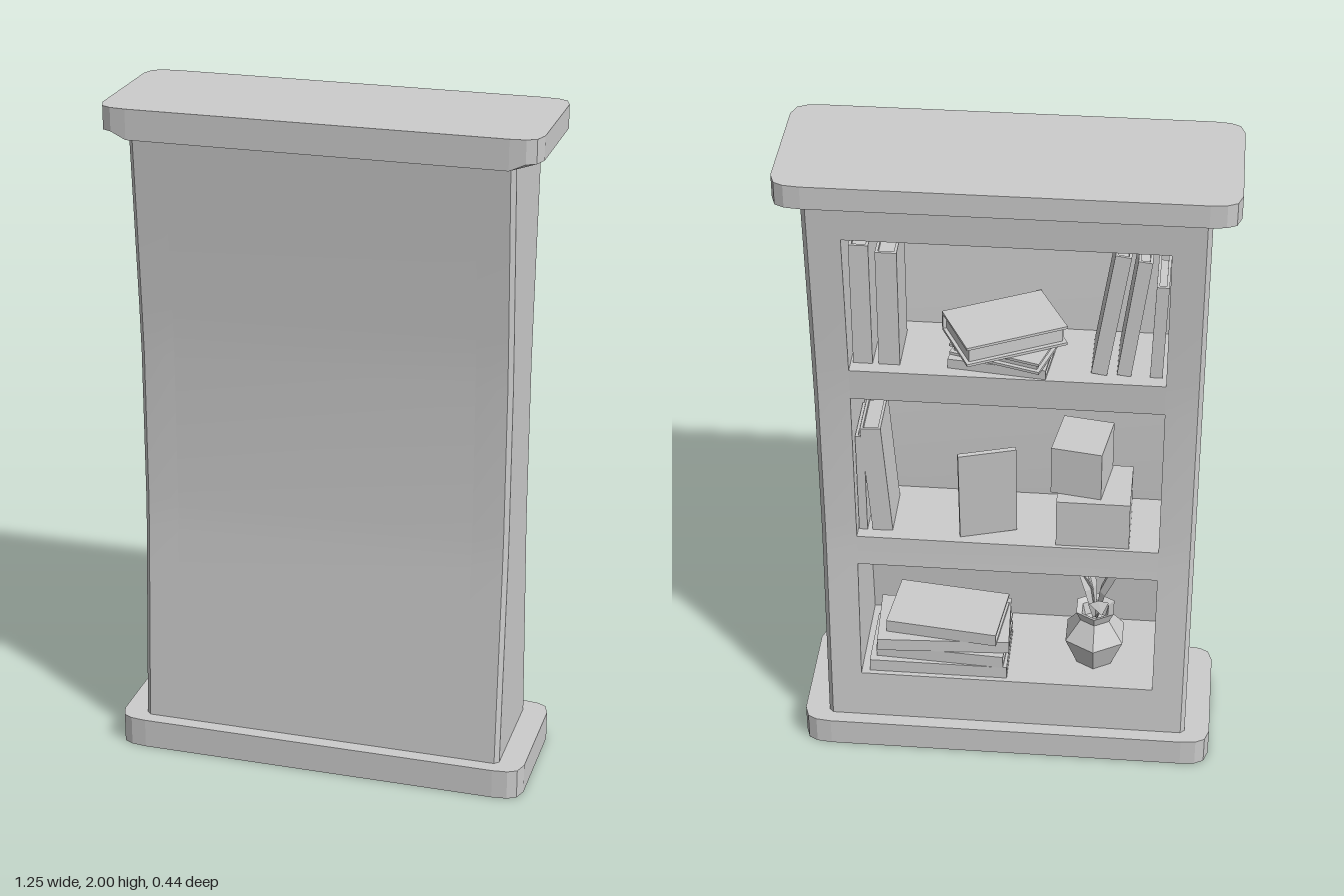
import * as THREE from 'three';
import { toCreasedNormals } from 'three/addons/utils/BufferGeometryUtils.js';

const mat = new THREE.MeshStandardMaterial({ color: 0xcccccc });
const leafMat = new THREE.MeshStandardMaterial({ color: 0xcccccc, side: THREE.DoubleSide, flatShading: true });

// Half depth of the waisted body at each height
const profile = [[0.08, 0.181], [0.3, 0.167], [0.5, 0.153], [0.7, 0.139], [0.8, 0.135],
  [1.25, 0.135], [1.4, 0.143], [1.65, 0.16], [1.94, 0.181]];
function halfDepth(y) {
  for (let i = 1; i < profile.length; i++) {
    const [y0, d0] = profile[i - 1], [y1, d1] = profile[i];
    if (y <= y1) return d0 + (d1 - d0) * (y - y0) / (y1 - y0);
  }
  return profile[profile.length - 1][1];
}

function add(parent, name, geometry, x = 0, y = 0, z = 0, material = mat) {
  const mesh = new THREE.Mesh(geometry, material);
  mesh.name = name;
  mesh.position.set(x, y, z);
  parent.add(mesh);
  return mesh;
}

// Solid between two heights; ring(d) gives [x, z] corners, counter-clockwise from above
function loft(y0, y1, ring) {
  const ys = [y0, ...profile.map(p => p[0]).filter(y => y > y0 + 0.001 && y < y1 - 0.001), y1];
  const rows = ys.map(y => ring(halfDepth(y)).map(([x, z]) => [x, y, z]));
  const n = rows[0].length, pos = [];
  const tri = (a, b, c) => pos.push(...a, ...b, ...c);
  for (let r = 0; r < rows.length - 1; r++) {
    for (let i = 0; i < n; i++) {
      const j = (i + 1) % n;
      tri(rows[r][i], rows[r][j], rows[r + 1][j]);
      tri(rows[r][i], rows[r + 1][j], rows[r + 1][i]);
    }
  }
  const bottom = rows[0], top = rows[rows.length - 1];
  for (let i = 1; i < n - 1; i++) {
    tri(top[0], top[i], top[i + 1]);
    tri(bottom[0], bottom[i + 1], bottom[i]);
  }
  const g = new THREE.BufferGeometry();
  g.setAttribute('position', new THREE.Float32BufferAttribute(pos, 3));
  return toCreasedNormals(g, 0.4);
}

// Plate with softened corners for the plinth and the crown
function plate(height) {
  const corner = [[0.625, 0.165], [0.612, 0.203], [0.585, 0.217], [0.54, 0.222]];
  const back = [...corner].reverse();
  const pts = [...corner, ...back.map(([x, z]) => [-x, z]),
    ...corner.map(([x, z]) => [-x, -z]), ...back.map(([x, z]) => [x, -z])];
  const shape = new THREE.Shape(pts.map(p => new THREE.Vector2(...p)));
  const g = new THREE.ExtrudeGeometry(shape, { depth: height, bevelEnabled: false });
  return g.rotateX(-Math.PI / 2);
}

// Book lying flat: two covers, a spine on -z and recessed pages
function book(w, t, d) {
  const g = new THREE.Group(), c = 0.008;
  g.name = 'book';
  for (const s of [-1, 1]) add(g, 'cover', new THREE.BoxGeometry(w, c, d), 0, s * (t - c) / 2, 0);
  add(g, 'spine', new THREE.BoxGeometry(w, t - 2 * c, c), 0, 0, -d / 2 + c / 2);
  add(g, 'pages', new THREE.BoxGeometry(w - 0.02, t - 2 * c, d - c - 0.012), 0, 0, c / 2 - 0.006);
  return g;
}

// Pointed leaf, folded along its middle, bending outward as it rises
function leaf(length, width, reach) {
  const rows = [[0, 0.25], [0.35, 0.85], [0.65, 1], [1, 0]], pos = [], idx = [];
  rows.forEach(([t, k]) => {
    for (const s of [-1, 0, 1]) {
      pos.push(s * k * width / 2, length * Math.sin(t * 1.5), reach * t * t + (s ? 0.012 * k : 0));
    }
  });
  for (let r = 0; r < 3; r++) {
    for (let i = 0; i < 2; i++) {
      const a = r * 3 + i;
      idx.push(a, a + 1, a + 4, a, a + 4, a + 3);
    }
  }
  const g = new THREE.BufferGeometry();
  g.setAttribute('position', new THREE.Float32BufferAttribute(pos, 3));
  g.setIndex(idx);
  g.computeVertexNormals();
  return g;
}

export function createModel() {
  const root = new THREE.Group();
  root.name = 'bookcase';

  // Plinth, and crown with its front lower edge dropped
  add(root, 'plinth', plate(0.09));
  const crown = plate(0.068);
  const p = crown.attributes.position;
  for (let i = 0; i < p.count; i++) {
    if (p.getY(i) < 0.001 && p.getZ(i) > 0.218) p.setY(i, -0.02);
  }
  crown.computeVertexNormals();
  add(root, 'crown', crown, 0, 1.932, 0);

  // Waisted side posts with chamfered outer corners, closed front panel, shelves
  const inner = 0.445, outer = 0.55, b = 0.013;
  const side = d => [[inner, d], [outer - b, d], [outer, d - b], [outer, b - d], [outer - b, -d], [inner, -d]];
  add(root, 'leftSide', loft(0.08, 1.94, side));
  add(root, 'rightSide', loft(0.08, 1.94, d => side(d).map(([x, z]) => [-x, z]).reverse()));
  const slab = (z0, z1) => [[-inner, z1], [inner, z1], [inner, z0], [-inner, z0]];
  add(root, 'frontPanel', loft(0.08, 1.94, d => slab(d - 0.02, d)));
  for (const [y0, y1] of [[0.08, 0.25], [0.66, 0.76], [1.26, 1.36], [1.81, 1.94]]) {
    add(root, 'shelf', loft(y0, y1, d => slab(-d, d - 0.02)));
  }

  const place = (obj, x, y, z, ry = 0, rz = 0) => {
    obj.position.set(x, y, z);
    obj.rotation.set(0, ry, rz);
    root.add(obj);
  };
  // Standing books: x, floor, height, thickness, lean
  for (const [x, floor, h, t, lean] of [
    [0.41, 1.36, 0.39, 0.055, 0], [0.335, 1.36, 0.37, 0.06, 0],
    [-0.285, 1.36, 0.395, 0.045, 0.15], [-0.35, 1.36, 0.38, 0.04, 0.13], [-0.42, 1.36, 0.3, 0.035, 0.03],
    [0.385, 0.76, 0.37, 0.06, -0.07], [0.43, 0.76, 0.34, 0.025, 0],
  ]) place(book(h, t, 0.17), x, floor + h / 2, -0.015, 0, Math.PI / 2 + lean);

  // Lying books: x, y, z, width, thickness, depth, turn
  for (const [x, y, z, w, t, d, turn] of [
    [0.02, 1.375, -0.03, 0.28, 0.03, 0.18, -0.12], [0.01, 1.41, -0.03, 0.27, 0.035, 0.19, Math.PI - 0.3],
    [0.015, 1.459, -0.035, 0.3, 0.062, 0.2, Math.PI + 0.46],
    [0.21, 0.271, -0.045, 0.42, 0.042, 0.22, 0], [0.2, 0.313, -0.04, 0.39, 0.042, 0.21, -0.06],
    [0.2, 0.355, -0.04, 0.4, 0.042, 0.21, 0.05], [0.19, 0.397, -0.035, 0.34, 0.042, 0.2, -0.12],
  ]) place(book(w, t, d), x, y, z, turn);

  // Picture card and two stacked boxes
  const card = add(root, 'pictureCard', new THREE.BoxGeometry(0.17, 0.32, 0.014), 0.06, 0.922, -0.1);
  card.rotation.set(-0.1, 0.26, 0);
  add(root, 'lowerBox', new THREE.BoxGeometry(0.215, 0.16, 0.19), -0.25, 0.84, -0.03);
  add(root, 'upperBox', new THREE.BoxGeometry(0.15, 0.16, 0.165), -0.21, 1.0, -0.01).rotation.y = -0.16;

  // Faceted vase with leaves
  const vase = new THREE.Group();
  vase.name = 'vase';
  vase.position.set(-0.26, 0.25, -0.03);
  const pts = [[0, 0], [0.06, 0], [0.1, 0.1], [0.05, 0.165], [0.065, 0.2], [0.045, 0.19], [0.035, 0.15], [0, 0.15]]
    .map(q => new THREE.Vector2(...q));
  add(vase, 'pot', new THREE.LatheGeometry(pts, 6), 0, 0, 0,
    new THREE.MeshStandardMaterial({ color: 0xcccccc, flatShading: true }));
  for (const [turn, length, width, reach] of [[3.3, 0.15, 0.06, 0.17], [0.9, 0.21, 0.065, 0.08],
    [-1.3, 0.2, 0.06, 0.1], [2.1, 0.22, 0.06, 0.07]]) {
    add(vase, 'leaf', leaf(length, width, reach), 0, 0.16, 0, leafMat).rotation.y = turn;
  }
  root.add(vase);
  return root;
}
